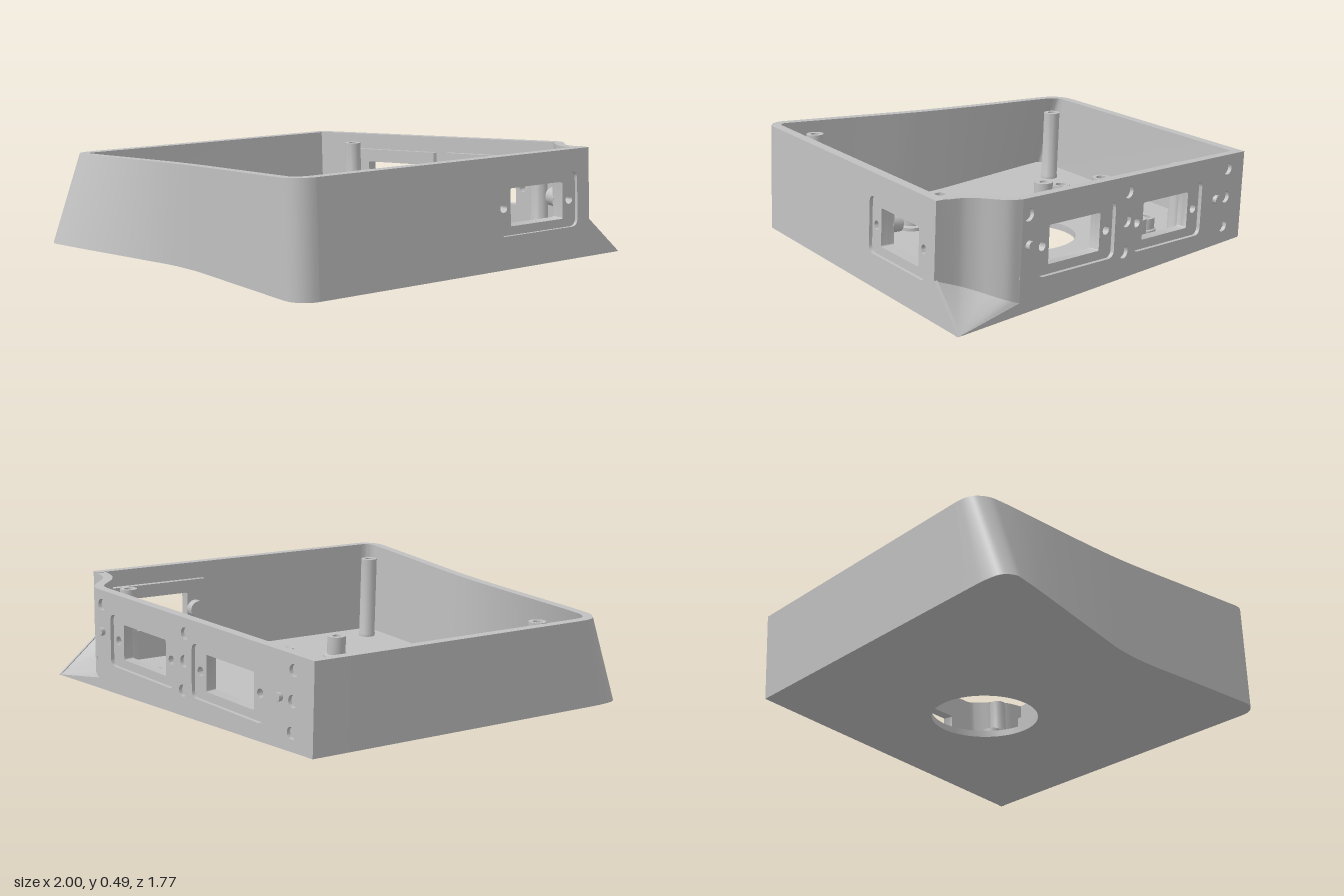
import * as THREE from 'three';
import { toCreasedNormals } from 'three/addons/utils/BufferGeometryUtils.js';

const T = 0.045;       // wall thickness
const FLOOR = 0.03;    // floor thickness
const LEAN = 0.2216;   // x run of the right wall per unit of z
const rimY = z => 0.448 + 0.0486 * z;
const wallX = z => 0.805 + LEAN * z;

// Surface through rows of [x, y, z] points of equal length
function grid(rows) {
  const n = rows[0].length, index = [];
  for (let r = 0; r < rows.length - 1; r++)
    for (let i = 0; i < n - 1; i++) {
      const a = r * n + i, b = a + n;
      index.push(a, a + 1, b, a + 1, b + 1, b);
    }
  const g = new THREE.BufferGeometry();
  g.setAttribute('position', new THREE.Float32BufferAttribute(rows.flat(2), 3));
  g.setIndex(index);
  g.computeVertexNormals();
  return g;
}

// Offset a plan outline sideways (positive: to the right of its direction)
function inset(pts, d) {
  return pts.map((p, i) => {
    const a = pts[Math.max(i - 1, 0)], b = pts[Math.min(i + 1, pts.length - 1)];
    const dx = b[0] - a[0], dz = b[1] - a[1], l = Math.hypot(dx, dz);
    return [p[0] - dz / l * d, p[1] + dx / l * d];
  });
}

function smooth(pts, n) {
  const c = new THREE.CatmullRomCurve3(pts.map(p => new THREE.Vector3(p[0], 0, p[1])));
  return Array.from({ length: n + 1 }, (_, i) => c.getPoint(i / n)).map(v => [v.x, v.z]);
}

function circle(x, y, r) {
  return new THREE.Path().absarc(x, y, r, 0, Math.PI * 2);
}

// Rounded rectangle, its long sides sloped by k
function roundRect(cx, cy, w, h, r, k = 0, P = THREE.Path) {
  const pts = [];
  [[1, 1], [-1, 1], [-1, -1], [1, -1]].forEach(([sx, sy], q) => {
    for (let i = 0; i <= 5; i++) {
      const t = (q + i / 5) * Math.PI / 2;
      const x = sx * (w / 2 - r) + r * Math.cos(t), y = sy * (h / 2 - r) + r * Math.sin(t);
      pts.push(new THREE.Vector2(cx + x, cy + y + k * x));
    }
  });
  return new P(pts);
}

// Plate between two depths, pierced by holes
function plate(shape, holes, back, front) {
  shape.holes.push(...holes);
  const g = new THREE.ExtrudeGeometry(shape, { depth: front - back, bevelEnabled: false, curveSegments: 12 });
  return g.translate(0, 0, back);
}

const polygon = pts => new THREE.Shape(pts.map(p => new THREE.Vector2(...p)));

export function createModel() {
  const model = new THREE.Group();
  const grey = new THREE.MeshStandardMaterial({ color: 0xc0c0c0, side: THREE.DoubleSide });
  grey.name = 'grey plastic';
  // The whole tray leans back slightly
  const shear = new THREE.Matrix4().set(1, 0, 0, 0, 0, 1, 0, 0, 0, -0.045, 1, 0.01, 0, 0, 0, 1);
  const add = (name, g, m) => {
    if (m) g.applyMatrix4(m);
    g.applyMatrix4(shear);
    const mesh = new THREE.Mesh(toCreasedNormals(g, 0.6), grey);
    mesh.name = name;
    model.add(mesh);
  };

  // Left and back walls: the foot flares outwards at the back left
  const corner = [];
  for (let i = 0; i <= 8; i++) {
    const t = i / 8 * Math.PI / 2;
    corner.push([-0.68 - 0.1 * Math.sin(t), 0.775 + 0.1 * Math.cos(t)]);
  }
  const foot = [...corner, ...smooth([[-0.78, 0.4], [-0.78, 0.12], [-0.8, -0.05], [-0.84, -0.2], [-0.895, -0.4],
    [-0.99, -0.75], [-1, -0.81], [-0.97, -0.855], [-0.9, -0.872], [-0.8, -0.875]], 45), [0.61, -0.875]];
  const rim = [...corner, ...smooth([[-0.78, 0.4], [-0.78, 0.12], [-0.785, -0.03], [-0.798, -0.2], [-0.817, -0.4],
    [-0.85, -0.74], [-0.848, -0.8], [-0.82, -0.85], [-0.78, -0.87], [-0.73, -0.875]], 45), [0.61, -0.875]];
  const low = pts => pts.map(p => [p[0], 0, p[1]]);
  const high = (pts, edge) => pts.map((p, i) => [p[0], rimY(edge[i][1]), p[1]]);
  const footIn = inset(foot, T), rimIn = inset(rim, T);
  add('leftAndBackWallOutside', grid([low(foot), high(rim, rim)]));
  add('leftAndBackWallRim', grid([high(rim, rim), high(rimIn, rim)]));
  add('leftAndBackWallInside', grid([high(rimIn, rim), low(footIn)]));

  // Scooped front right corner with a ramp running out to a tip
  const tip = [wallX(0.875), 0, 0.875];
  const notch = [[0.81, 0.875], ...smooth([[0.81, 0.79], [0.815, 0.75], [0.84, 0.7], [0.89, 0.645],
    [0.92, 0.6], [wallX(0.55), 0.55]], 18)];
  const notchIn = inset(notch, -T);
  const ledge = notch.map(([x, z]) => [x, 0.05 + 0.12 * (z - 0.55) / 0.325, z]);
  add('cornerRamp', grid([notch.map(() => tip), ledge]));
  add('cornerScoop', grid([ledge, high(notch, notch)]));
  add('cornerRim', grid([high(notch, notch), high(notchIn, notch)]));
  add('cornerInside', grid([high(notchIn, notch), low(notchIn)]));

  // Floor with a large round opening and small blind holes
  const down = new THREE.Matrix4().makeRotationX(Math.PI / 2);
  const blindHoles = [[-0.505, -0.52], [0.47, -0.565], [-0.675, -0.03], [0.725, 0.37], [-0.42, 0.585], [0.6, 0.625]];
  const underside = polygon([...foot, [tip[0], tip[2]]]);
  underside.holes.push(circle(0.12, 0, 0.245));
  add('floorUnderside', new THREE.ShapeGeometry(underside, 32), down);
  const inside = polygon([...footIn.slice(0, -1), [0.59, -0.84], [wallX(0.55) - 0.02, 0.55],
    ...notchIn.slice(1).reverse(), [0.77, 0.84]]);
  inside.holes.push(circle(0.12, 0, 0.245), ...blindHoles.map(([x, z]) => circle(x, z, 0.028)));
  add('floorTop', new THREE.ShapeGeometry(inside, 32).translate(0, 0, -FLOOR), down);
  add('floorOpeningEdge', new THREE.CylinderGeometry(0.245, 0.245, FLOOR, 64, 1, true).translate(0.12, FLOOR / 2, 0));
  const cup = [[0, 0.012], [0.028, 0.012], [0.028, FLOOR]].map(p => new THREE.Vector2(...p));
  for (const [x, z] of blindHoles)
    add('floorBlindHole', new THREE.LatheGeometry(cup, 32).translate(x, 0, z));

  // Front wall with one recessed connector window
  const top = rimY(0.875);
  const window = (s, y, k) => [roundRect(s, y, 0.31, 0.165, 0.006, k), circle(s - 0.195, y - 0.195 * k, 0.02),
    circle(s + 0.195, y + 0.195 * k, 0.02)];
  add('frontWallOutside', plate(polygon([[-0.68, 0], [tip[0], 0], [0.81, 0.17], [0.81, top], [-0.68, top]]),
    [roundRect(0.505, 0.267, 0.465, 0.245, 0.03)], 0.86, 0.875));
  add('frontWallInside', plate(polygon([[-0.68, 0], [0.81, 0], [0.81, top], [-0.68, top]]),
    window(0.505, 0.265, 0), 0.83, 0.86));
  add('frontConnectorFrame', plate(roundRect(0.505, 0.265, 0.51, 0.29, 0.005, 0, THREE.Shape),
    window(0.505, 0.265, 0), 0.8, 0.83));
  for (const x of [0.31, 0.7])
    add('frontScrewBoss', new THREE.CylinderGeometry(0.042, 0.042, 0.05, 24).rotateX(Math.PI / 2).translate(x, 0.265, 0.78));

  // Right wall, drawn flat with s running backwards, then stood in place
  const len = Math.hypot(1, LEAN);
  const stand = new THREE.Matrix4().makeBasis(new THREE.Vector3(-LEAN / len, 0, -1 / len),
    new THREE.Vector3(0, 1, 0), new THREE.Vector3(1 / len, 0, -LEAN / len)).setPosition(wallX(0), 0, 0);
  const S = z => -z * len, K = -0.047;
  const windows = [[0.225, 0.24], [-0.353, 0.21]];
  const dimples = [[0.515, 0.405], [0.53, 0.145], [-0.08, 0.375], [-0.075, 0.25], [-0.065, 0.115],
    [-0.76, 0.345], [-0.755, 0.215], [-0.75, 0.08]];
  const a = S(0.55), b = S(-0.875);
  add('rightWallOutside', plate(polygon([[S(0.875), 0], [b, 0], [b, rimY(-0.875)], [a, rimY(0.55)], [a, 0.05]]),
    [...windows.map(([z, y]) => roundRect(S(z), y, 0.465, 0.245, 0.03, K)),
      ...dimples.map(([z, y]) => circle(S(z), y, 0.027))], -0.018, 0), stand);
  add('rightWallInside', plate(polygon([[a, 0], [b, 0], [b, rimY(-0.875)], [a, rimY(0.55)]]),
    windows.flatMap(([z, y]) => window(S(z), y, K)), -T, -0.018), stand);
  for (const [z, y] of windows) {
    add('rightConnectorFrame', plate(roundRect(S(z), y, 0.52, 0.29, 0.005, K, THREE.Shape),
      window(S(z), y, K), -T - 0.025, -T), stand);
    add('rightConnectorTab', new THREE.BoxGeometry(0.11, 0.04, 0.04).translate(S(z), y - 0.125, -T - 0.04), stand);
  }
  for (const [z, y] of [[0.51, 0.28], [-0.68, 0.22]])
    add('locatingPeg', new THREE.CylinderGeometry(0.019, 0.019, 0.04, 20).rotateX(Math.PI / 2).translate(S(z), y, 0), stand);

  // Hollow standoffs: tall lid posts, flanged posts and short posts
  const post = (name, x, z, h, r, bore, flange) => {
    const profile = [[0, h - 0.05], [bore, h - 0.05], [bore, h], [r, h], [r, FLOOR + 0.02],
      [flange, FLOOR + 0.015], [flange, FLOOR]].map(p => new THREE.Vector2(...p));
    add(name, new THREE.LatheGeometry(profile, 28).translate(x, 0, z));
  };
  for (const [x, z] of [[-0.65, -0.68], [0.56, -0.54], [-0.635, 0.685], [0.735, 0.635]])
    post('lidPost', x, z, rimY(z) - 0.04, 0.04, 0.02, 0.042);
  for (const x of [-0.255, 0.485]) for (const z of [-0.37, 0.37])
    post('flangedStandoff', x, z, 0.14, 0.046, 0.02, 0.065);
  for (const x of [-0.29, 0.385]) for (const z of [-0.75, -0.5])
    post('shortStandoff', x, z, 0.1, 0.045, 0.026, 0.052);

  return model;
}
